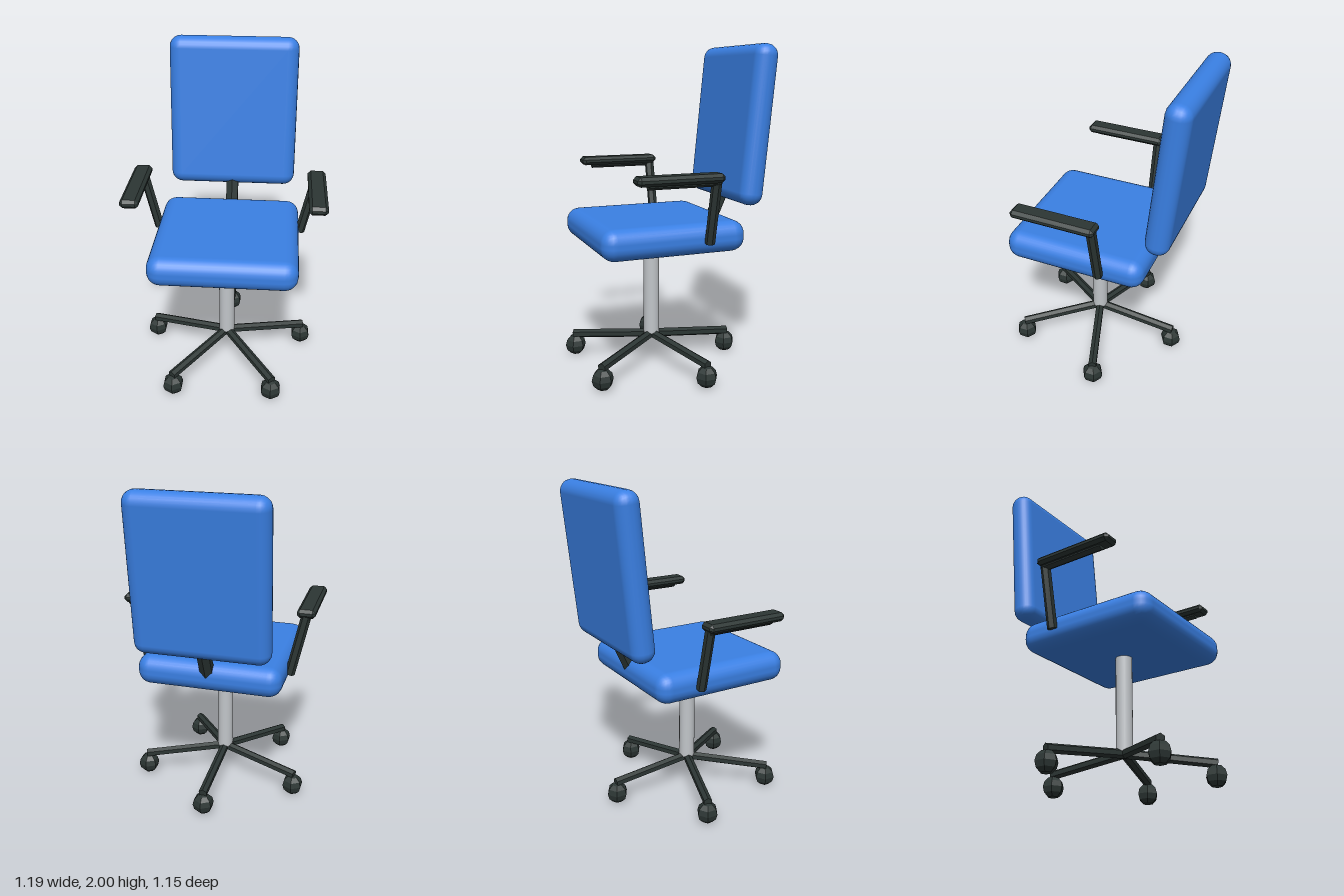
import * as THREE from 'three';
import { RoundedBoxGeometry } from 'three/addons/geometries/RoundedBoxGeometry.js';
import { ConvexGeometry } from 'three/addons/geometries/ConvexGeometry.js';

const V = (x, y, z) => new THREE.Vector3(x, y, z);

// Box with every edge cut at 45 degrees
function chamferBox(w, h, d, c) {
  const points = [];
  for (const x of [-w / 2, w / 2])
    for (const y of [-h / 2, h / 2])
      for (const z of [-d / 2, d / 2]) {
        const ix = x - Math.sign(x) * c, iy = y - Math.sign(y) * c, iz = z - Math.sign(z) * c;
        points.push(V(x, iy, iz), V(ix, y, iz), V(ix, iy, z));
      }
  return new ConvexGeometry(points);
}

export function createModel() {
  const chair = new THREE.Group();
  chair.name = 'officeChair';

  const material = (name, color) => {
    const m = new THREE.MeshStandardMaterial({ color });
    m.name = name;
    return m;
  };
  const blue = material('blueUpholstery', 0x3a80e4);
  const steel = material('steel', 0xc2c6ca);
  const dark = material('darkPlastic', 0x2c3634);
  const darkFlat = dark;
  darkFlat.flatShading = true;

  const add = (name, geometry, mat, position, parent = chair) => {
    const mesh = new THREE.Mesh(geometry, mat);
    mesh.name = name;
    mesh.position.copy(position);
    parent.add(mesh);
    return mesh;
  };

  // Six-sided bar between two points
  const bar = (name, from, to, radius, parent = chair) => {
    const geometry = new THREE.CylinderGeometry(radius, radius, from.distanceTo(to), 6);
    geometry.rotateX(Math.PI / 2);
    const mesh = add(name, geometry, dark, from.clone().add(to).multiplyScalar(0.5), parent);
    mesh.lookAt(to);
    return mesh;
  };

  const axisZ = 0.093;

  // Cushions
  add('seat', new RoundedBoxGeometry(0.89, 0.187, 0.89, 3, 0.082), blue, V(0, 0.877, 0.09));
  const back = add('backrest', new RoundedBoxGeometry(0.814, 0.962, 0.15, 3, 0.072), blue, V(0, 1.523, -0.458));
  back.rotation.x = -0.1;
  bar('backSupport', V(0, 0.885, -0.307), V(0, 1.075, -0.392), 0.044);

  // Gas column
  add('column', new THREE.CylinderGeometry(0.05, 0.05, 0.62, 20), steel, V(0, 0.51, axisZ));

  // Five-armed base with low-poly casters
  const caster = new THREE.SphereGeometry(0.067, 6, 6).rotateY(Math.PI / 2);
  for (let i = 0; i < 5; i++) {
    const a = Math.PI + (i * 2 * Math.PI) / 5;
    const at = (r, y) => V(Math.sin(a) * r, y, axisZ + Math.cos(a) * r);
    bar('baseLeg', at(0, 0.193), at(0.53, 0.14), 0.028);
    add('caster', caster, dark, at(0.52, 0.067));
  }

  // Mirrored armrests: leaning post, beam and pad
  for (const side of [1, -1]) {
    const arm = new THREE.Group();
    arm.name = side > 0 ? 'leftArmrest' : 'rightArmrest';
    chair.add(arm);
    bar('armPost', V(side * 0.455, 0.86, -0.097), V(side * 0.54, 1.24, -0.097), 0.03, arm);
    bar('armBeam', V(side * 0.54, 1.235, -0.11), V(side * 0.54, 1.235, 0.315), 0.03, arm);
    add('armPad', chamferBox(0.11, 0.053, 0.515, 0.018), dark, V(side * 0.54, 1.255, 0.128), arm);
  }

  return chair;
}
